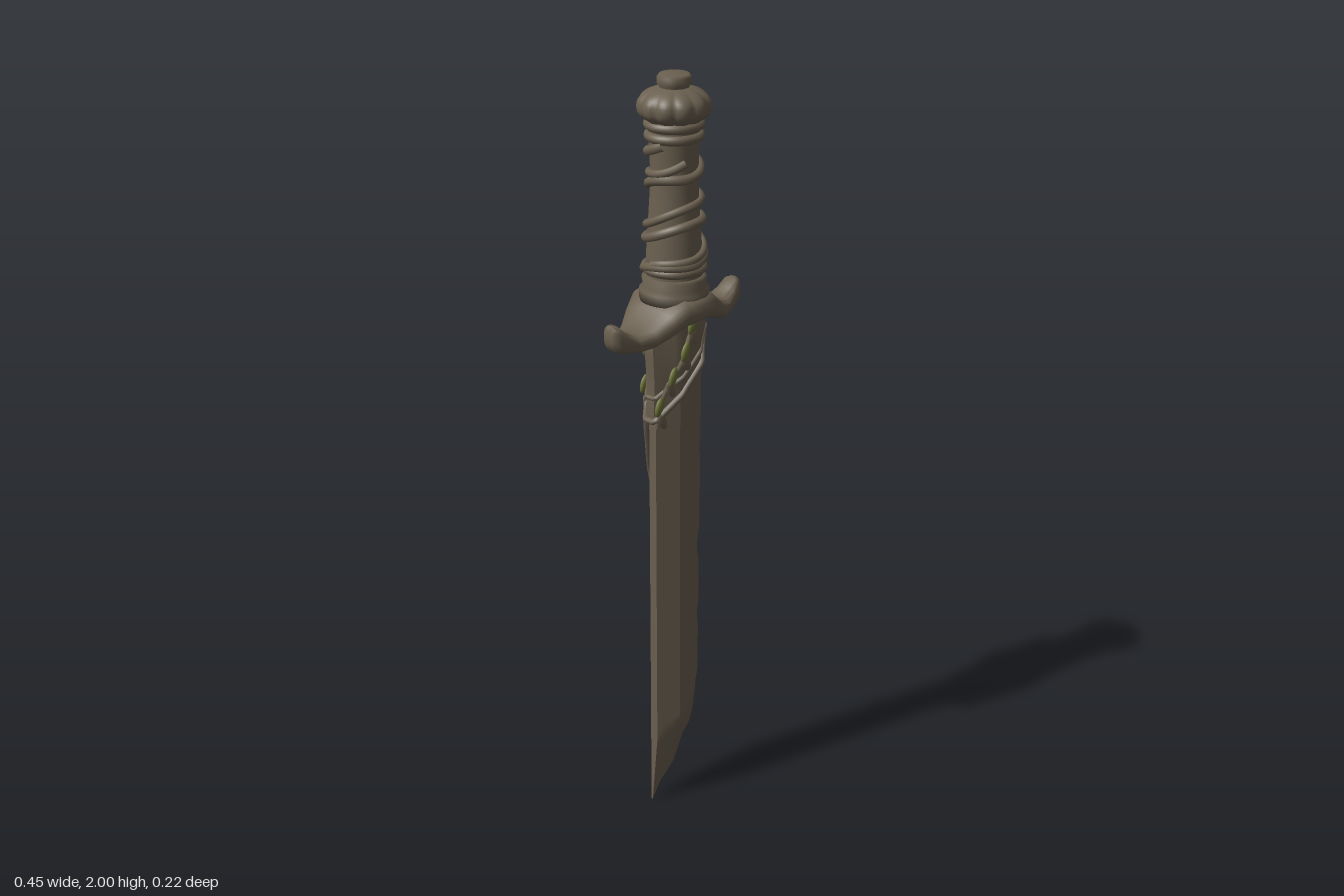
import * as THREE from 'three';
import { toCreasedNormals } from 'three/addons/utils/BufferGeometryUtils.js';

const { lerp, clamp, smoothstep } = THREE.MathUtils;
const V = (x, y, z) => new THREE.Vector3(x, y, z);

// Closed skin over equal-length rings, capped at both ends
function loft(rings, crease = 0.5) {
  const m = rings[0].length, pos = [], idx = [];
  rings.forEach(r => r.forEach(p => pos.push(p.x, p.y, p.z)));
  for (let i = 0; i < rings.length - 1; i++) {
    for (let j = 0; j < m; j++) {
      const k = (j + 1) % m, a = i * m, b = a + m;
      idx.push(a + j, a + k, b + k, a + j, b + k, b + j);
    }
  }
  [[0, true], [rings.length - 1, false]].forEach(([i, flip]) => {
    const c = rings[i].reduce((s, p) => s.add(p), V(0, 0, 0)).divideScalar(m);
    const ci = pos.length / 3;
    pos.push(c.x, c.y, c.z);
    for (let j = 0; j < m; j++) {
      const a = i * m + j, b = i * m + (j + 1) % m;
      idx.push(ci, flip ? b : a, flip ? a : b);
    }
  });
  const g = new THREE.BufferGeometry();
  g.setAttribute('position', new THREE.Float32BufferAttribute(pos, 3));
  g.setIndex(idx);
  return toCreasedNormals(g, crease);
}

// Piecewise linear lookup in [x, y] pairs
function ramp(table, x) {
  for (let i = 1; i < table.length; i++) {
    const [x0, y0] = table[i - 1], [x1, y1] = table[i];
    if (x <= x1) return lerp(y0, y1, clamp((x - x0) / (x1 - x0), 0, 1));
  }
  return table[table.length - 1][1];
}

// Faceted blade section, subdivided along each facet
const corners = [[-0.085, -0.01], [-0.085, 0.012], [-0.03, 0.045], [0.03, 0.05],
  [0.082, 0.02], [0.085, -0.012], [0.03, -0.05], [-0.03, -0.048]];
const section = corners.flatMap(([u, n], i) => {
  const [u2, n2] = corners[(i + 1) % corners.length];
  return [0, 0.25, 0.5, 0.75].map(t => [lerp(u, u2, t), lerp(n, n2, t)]);
});

const brokenEnd = [[-0.085, 0], [-0.06, 0.05], [-0.015, 0.1], [0.005, 0.15], [0.02, 0.19], [0.06, 0.2], [0.085, 0.25]];
const notches = [[0.3, 0.05, 0.014], [0.53, 0.03, 0.008], [0.74, 0.05, 0.01], [1.02, 0.03, 0.005]];

function bladeGeometry() {
  const rings = [];
  for (let i = 0; i <= 70; i++) {
    const t = i / 70;
    rings.push(section.map(([u, n]) => {
      const y = lerp(ramp(brokenEnd, u), 1.42, t);
      const edge = smoothstep(u, 0.02, 0.08);
      let du = u > 0 ? u * lerp(0.88, 1, clamp((y - 0.2) / 1, 0, 1)) : u;
      for (const [ny, h, d] of notches) du -= edge * d * Math.max(0, 1 - Math.abs(y - ny) / h);
      const thin = lerp(0.2, 1, clamp((y - ramp(brokenEnd, u) * 0.6) / 0.2, 0, 1));
      return V(du, y, n * thin - 0.01 * (1 - thin));
    }));
  }
  return loft(rings, 0.4);
}

// Slanted cloth around the top of the blade
const hemY = u => 1.14 + (u + 0.085) * 1.18;
const clothPoint = ([u, n], t, s) => {
  const fold = 1 + 0.03 * Math.sin(u * 60 + t * 9);
  return V(u * s * fold, lerp(hemY(u), 1.42, t), n * (s + 0.08) * fold);
};
function clothGeometry() {
  const rings = [];
  for (let i = 0; i <= 14; i++) {
    rings.push(section.map(p => clothPoint(p, i / 14, 1.06 + 0.06 * Math.sin(i / 14 * Math.PI))));
  }
  return loft(rings, 0.7);
}

// Guard stations along its length: offset, centre height, half height, half depth
const guardStations = [[0, 1.437, 0.04, 0.102], [0.05, 1.433, 0.042, 0.094], [0.09, 1.41, 0.033, 0.08],
  [0.13, 1.387, 0.027, 0.06], [0.17, 1.38, 0.023, 0.042], [0.2, 1.391, 0.029, 0.033],
  [0.222, 1.405, 0.035, 0.027], [0.234, 1.41, 0.03, 0.021], [0.24, 1.412, 0.015, 0.01]];
function guardGeometry() {
  const mirrored = guardStations.slice(1).reverse().map(([u, ...r]) => [-u, ...r]);
  const soft = v => Math.sign(v) * Math.pow(Math.abs(v), 0.7);
  return loft([...mirrored, ...guardStations].map(([u, cy, h, w]) =>
    Array.from({ length: 24 }, (_, j) => {
      const a = j / 24 * Math.PI * 2;
      return V(u, cy + h * soft(Math.cos(a)), w * soft(Math.sin(a)));
    })), 0.9);
}

const lathe = pts => new THREE.LatheGeometry(pts.map(([r, y]) => new THREE.Vector2(r, y)), 40);

const gripProfile = [[0.071, 1.5], [0.069, 1.56], [0.065, 1.62], [0.06, 1.7], [0.057, 1.76], [0.06, 1.82], [0.063, 1.88]];
const gripRadius = y => ramp(gripProfile.map(([r, h]) => [h, r]), y);

// Wrapping cord that climbs the grip
function cordGeometry(y0, y1, turns, start, thick) {
  const pts = [];
  const n = Math.ceil(turns * 20);
  for (let i = 0; i <= n; i++) {
    const a = start + i / n * turns * Math.PI * 2;
    const y = lerp(y0, y1, i / n) + 0.008 * Math.sin(a * 1.7);
    const r = gripRadius(y) + 0.003;
    pts.push(V(r * Math.sin(a), y, r * Math.cos(a)));
  }
  return new THREE.TubeGeometry(new THREE.CatmullRomCurve3(pts), n * 3, thick, 8);
}

// Lobed pommel
function pommelGeometry() {
  const g = new THREE.SphereGeometry(1, 88, 24);
  const p = g.attributes.position;
  for (let i = 0; i < p.count; i++) {
    const a = Math.atan2(p.getX(i), p.getZ(i));
    const lobe = 0.083 + 0.007 * Math.abs(Math.cos(a * 5.5)) * Math.hypot(p.getX(i), p.getZ(i));
    const flat = Math.sign(p.getY(i)) * Math.pow(Math.abs(p.getY(i)), 0.85);
    p.setXYZ(i, p.getX(i) * lobe, 1.925 + flat * 0.048, p.getZ(i) * lobe);
  }
  g.computeVertexNormals();
  return g;
}

export function createModel() {
  const root = new THREE.Group();
  const turned = new THREE.Group();
  turned.name = 'dagger';
  turned.rotation.y = THREE.MathUtils.degToRad(23);
  root.add(turned);

  const material = (name, color) => {
    const m = new THREE.MeshStandardMaterial({ color });
    m.name = name;
    return m;
  };
  const weathered = material('weatheredBrown', 0x6b6050);
  const moss = material('mossGreen', 0x6a7038);
  const add = (name, geometry, mat = weathered) => {
    const mesh = new THREE.Mesh(geometry, mat);
    mesh.name = name;
    turned.add(mesh);
    return mesh;
  };

  // Blade, cloth and hem folds
  add('blade', bladeGeometry());
  add('bladeCloth', clothGeometry());
  [[0.03, 0.009], [0.25, 0.007]].forEach(([t, r]) => {
    const curve = new THREE.CatmullRomCurve3(section.map(p => clothPoint(p, t, 1.08)), true);
    add('clothFold', new THREE.TubeGeometry(curve, 80, r, 6, true));
  });

  // Guard and collar
  add('guard', guardGeometry());
  add('collar', lathe([[0, 1.45], [0.088, 1.45], [0.086, 1.475], [0.077, 1.485], [0.08, 1.505], [0.07, 1.512], [0, 1.512]]));

  // Grip with cords and rings
  add('grip', lathe(gripProfile));
  add('gripCord', cordGeometry(1.52, 1.66, 1.6, 3.6, 0.012));
  add('gripCord', cordGeometry(1.54, 1.8, 2.2, 4.6, 0.01));
  add('gripCord', cordGeometry(1.69, 1.84, 1.7, 0.6, 0.012));
  [[1.53, 0.07], [1.855, 0.061], [1.882, 0.062]].forEach(([y, r]) => {
    const ring = add('gripRing', new THREE.TorusGeometry(r, 0.012, 10, 40));
    ring.rotation.x = Math.PI / 2;
    ring.position.y = y;
  });

  // Pommel and its button
  add('pommel', pommelGeometry());
  add('pommelButton', lathe([[0.034, 1.955], [0.036, 1.972], [0.041, 1.977], [0.041, 1.993], [0.035, 2], [0, 2]]));

  // Vine stems and leaves: points across and up the blade, side +1 front, -1 back
  const onBlade = (u, y, side) => V(u, y, side * (0.056 - Math.max(0, Math.abs(u) - 0.03) * 0.62));
  const vines = [
    [1, [[0.015, 1.41], [-0.01, 1.36], [-0.03, 1.31], [-0.055, 1.26], [-0.08, 1.2], [-0.09, 1.13]]],
    [-1, [[-0.02, 1.34], [-0.03, 1.28], [-0.05, 1.22], [-0.082, 1.16], [-0.06, 1.06], [-0.03, 0.97], [-0.005, 0.88]]],
  ];
  vines.forEach(([side, path]) => {
    const curve = new THREE.CatmullRomCurve3(path.map(([u, y]) => onBlade(u, y, side)));
    add('vineStem', new THREE.TubeGeometry(curve, 40, 0.007, 6));
    const count = 8;
    for (let i = 0; i < count; i++) {
      const p = curve.getPoint((i + 0.6) / count);
      if (side < 0 && i > 3 && i < 7) continue;
      const leaf = add('vineLeaf', new THREE.SphereGeometry(1, 12, 8), i % 2 ? weathered : moss);
      leaf.scale.set(0.013, 0.026, 0.008);
      leaf.position.set(p.x + (i % 2 ? 0.012 : -0.008), p.y, p.z + side * 0.005);
      leaf.rotation.z = (i % 2 ? 0.5 : -0.4);
    }
  });
  return root;
}
